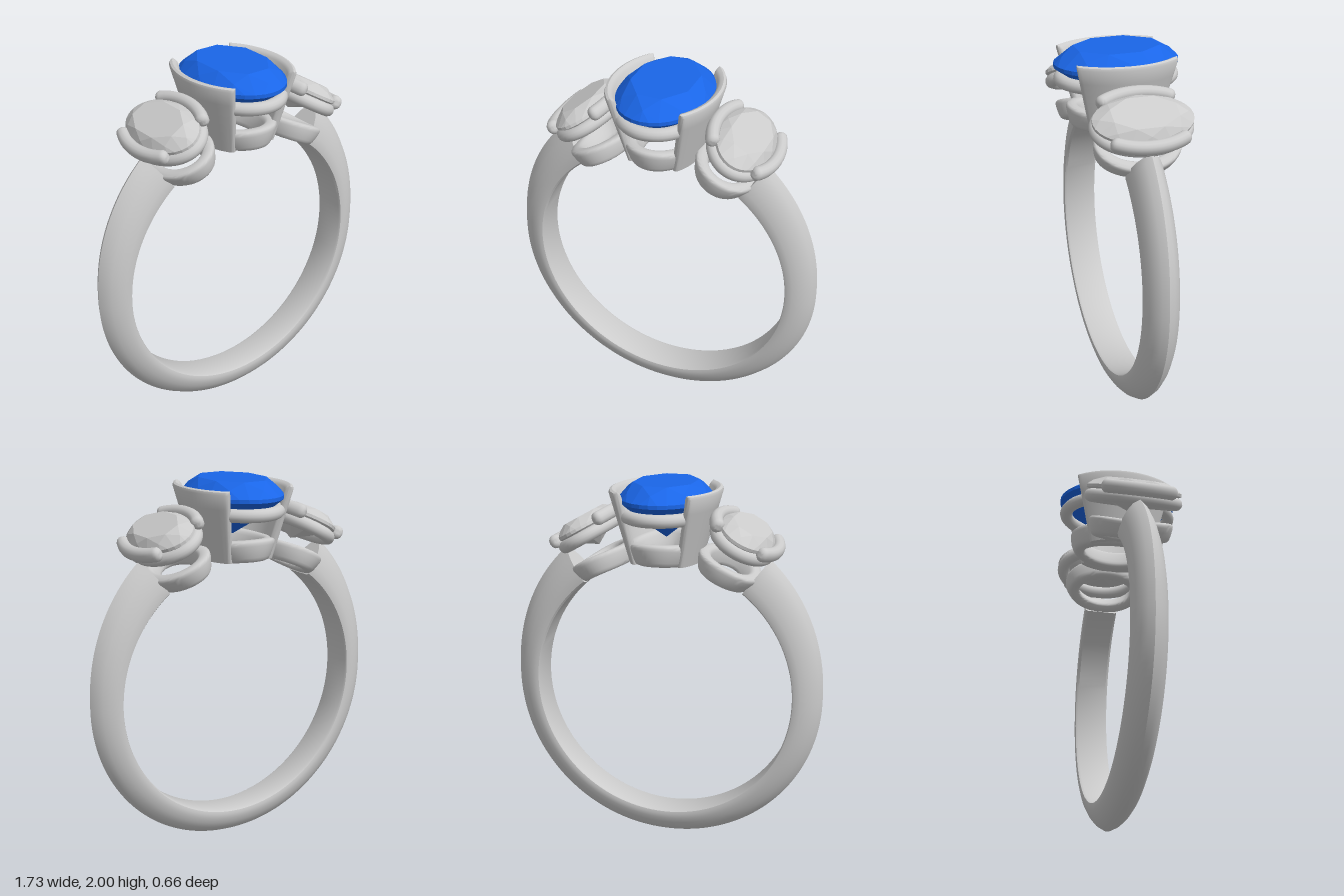
import * as THREE from 'three';
import { toCreasedNormals } from 'three/addons/utils/BufferGeometryUtils.js';
import { ConvexGeometry } from 'three/addons/geometries/ConvexGeometry.js';

const CENTER_Y = 0.87, INNER_R = 0.715;
const metal = new THREE.MeshStandardMaterial({ color: 0xcccccc });
const blue = new THREE.MeshStandardMaterial({ color: 0x1a66e8 });
const V = (x, y, z) => new THREE.Vector3(x, y, z);

// Joins closed cross-sections into a solid; an open run gets end caps
function loft(rows, looped, crease = 0.6) {
  const n = rows[0].length, pos = [], index = [];
  rows.forEach(row => row.forEach(p => pos.push(p.x, p.y, p.z)));
  const last = looped ? rows.length : rows.length - 1;
  for (let i = 0; i < last; i++) {
    for (let j = 0; j < n; j++) {
      const i2 = (i + 1) % rows.length, j2 = (j + 1) % n;
      const a = i * n + j, b = i * n + j2, c = i2 * n + j2, d = i2 * n + j;
      index.push(a, b, d, b, c, d);
    }
  }
  if (!looped) {
    [0, rows.length - 1].forEach(i => {
      const mid = rows[i].reduce((s, p) => s.add(p), V(0, 0, 0)).divideScalar(n);
      const m = pos.length / 3;
      pos.push(mid.x, mid.y, mid.z);
      for (let j = 0; j < n; j++) {
        const a = i * n + j, b = i * n + (j + 1) % n;
        if (i === 0) index.push(m, b, a); else index.push(m, a, b);
      }
    });
  }
  // A negative volume means the faces point inward
  let volume = 0;
  const at = k => V().fromArray(pos, k * 3);
  for (let k = 0; k < index.length; k += 3) {
    volume += at(index[k]).dot(at(index[k + 1]).cross(at(index[k + 2])));
  }
  if (volume < 0) index.reverse();
  const geo = new THREE.BufferGeometry();
  geo.setAttribute('position', new THREE.Float32BufferAttribute(pos, 3));
  geo.setIndex(index);
  return toCreasedNormals(geo, crease);
}

function add(parent, name, geometry, material = metal) {
  const mesh = new THREE.Mesh(geometry, material);
  mesh.name = name;
  parent.add(mesh);
  return mesh;
}

// Point on an oval in the xz plane, pushed outward by w
function onOval(a, b, t, w, y) {
  const nx = b * Math.cos(t), nz = a * Math.sin(t), l = Math.hypot(nx, nz);
  return V(a * Math.cos(t) + w * nx / l, y, b * Math.sin(t) + w * nz / l);
}

// Rounded-box profile as [outward, up] pairs
function roundProfile(hw, hh, power, n = 20) {
  const f = v => Math.sign(v) * Math.abs(v) ** power;
  return Array.from({ length: n }, (_, i) => {
    const t = i / n * Math.PI * 2;
    return [hw * f(Math.cos(t)), hh * f(Math.sin(t))];
  });
}

// Thins a run to a rounded tip at both ends; s runs from -1 to 1
function tipScale(s, tip) {
  const d = Math.max(0, (Math.abs(s) - 1 + tip) / tip);
  return Math.max(0.12, Math.sqrt(1 - d * d));
}

// Run positions, denser toward the ends
const runs = n => Array.from({ length: n + 1 }, (_, i) => Math.sin((i / n - 0.5) * Math.PI));

function ovalRail(a, b, radius) {
  const profile = roundProfile(radius, radius, 1, 14);
  const rows = Array.from({ length: 72 }, (_, i) => {
    const t = i / 72 * Math.PI * 2;
    return profile.map(([w, h]) => onOval(a, b, t, w, h));
  });
  return loft(rows, true, 1);
}

function ovalArc(a, b, radius, halfAngle) {
  const profile = roundProfile(radius, radius * 1.1, 0.9, 14);
  return loft(runs(32).map(s => {
    const k = tipScale(s, 0.15);
    return profile.map(([w, h]) => onOval(a, b, s * halfAngle, w * k, h * k));
  }), false, 1);
}

// Faceted oval stone with its girdle on y = 0
function ovalStone(a, b, crown, pavilion, girdle) {
  const pts = [V(0, -pavilion, 0)];
  const ring = (n, r, y, shift) => {
    for (let i = 0; i < n; i++) {
      const t = (i + shift) / n * Math.PI * 2;
      pts.push(V(a * r * Math.cos(t), y, b * r * Math.sin(t)));
    }
  };
  ring(8, 0.7, crown, 0.5);
  ring(8, 0.88, crown * 0.58, 0);
  ring(32, 1, girdle, 0);
  ring(32, 1, -girdle, 0);
  ring(8, 0.55, -pavilion * 0.54, 0.5);
  return new ConvexGeometry(pts);
}

// Oval base ring bent around the finger hole, centred at angle phi from the top
function baseRing(phi, a, b, height) {
  const profile = roundProfile(0.034, height / 2, 0.55);
  const rows = Array.from({ length: 64 }, (_, i) => {
    const t = i / 64 * Math.PI * 2;
    return profile.map(([w, h]) => {
      const flare = 0.2 * h;
      const p = onOval(a - 0.034, b - 0.034, t, w + flare, 0);
      const r = INNER_R + height / 2 + h, ang = phi + p.x / 0.76;
      return V(r * Math.sin(ang), CENTER_Y + r * Math.cos(ang), p.z);
    });
  });
  return loft(rows, true, 0.8);
}

// Open band with a ridged arch section that grows toward the shoulders
function bandGeometry() {
  const half = [[0.08, 0], [0.092, 0.04], [0.095, 0.14], [0.091, 0.3], [0.08, 0.5], [0.06, 0.71], [0.033, 0.89]];
  const section = [...half, [0, 1], ...half.map(([z, f]) => [-z, f]).reverse()];
  const end = 52.7 * Math.PI / 180, N = 120, rows = [];
  for (let i = 0; i <= N; i++) {
    const th = end - (Math.PI + 2 * end) * i / N;
    const rise = Math.max(0, Math.sin(th)) / Math.sin(end);
    const outer = 0.866 + 0.068 * rise ** 1.5;
    rows.push(section.map(([z, f]) => {
      const r = INNER_R + (outer - INNER_R) * f;
      return V(r * Math.cos(th), CENTER_Y + r * Math.sin(th), z);
    }));
  }
  return loft(rows, false, 0.5);
}

// Flaring curved wall that holds one flank of the centre stone
function wallGeometry() {
  const profile = [[-0.045, 0], [0, 0], [0, 0.25], [0, 0.5], [0, 0.75], [0, 0.95], [-0.008, 0.985],
    [-0.022, 1], [-0.036, 0.985], [-0.045, 0.95], [-0.045, 0.75], [-0.045, 0.5], [-0.045, 0.25]];
  return loft(runs(32).map(s => {
    const k = tipScale(s, 0.07);
    return profile.map(([w, h]) => onOval(
      0.19 + 0.11 * h, 0.25 + 0.125 * h, s * 0.84, -0.0225 + (w + 0.0225) * k, 1.58 + 0.39 * h));
  }), false, 0.7);
}

export function createModel() {
  const model = new THREE.Group();
  model.name = 'ring';
  add(model, 'band', bandGeometry());

  // Centre setting
  const centre = new THREE.Group();
  centre.name = 'centreSetting';
  model.add(centre);
  add(centre, 'centreStone', ovalStone(0.24, 0.33, 0.085, 0.215, 0.01), blue).position.y = 1.915;
  add(centre, 'centreRail', ovalRail(0.215, 0.295, 0.035)).position.y = 1.838;
  add(centre, 'centreBase', baseRing(0, 0.185, 0.26, 0.12));
  const wall = wallGeometry();
  add(centre, 'leftWall', wall);
  add(centre, 'rightWall', wall).rotation.y = Math.PI;

  // Side settings, tilted outward
  const stone = ovalStone(0.155, 0.262, 0.055, 0.125, 0.008);
  const rail = ovalRail(0.15, 0.235, 0.035);
  const arc = ovalArc(0.178, 0.275, 0.034, 0.82);
  const base = baseRing(0.46, 0.165, 0.225, 0.105);
  ['left', 'right'].forEach((side, i) => {
    const group = new THREE.Group();
    group.name = side + 'Setting';
    group.rotation.y = i * Math.PI;
    model.add(group);
    add(group, 'sideBase', base);
    const head = new THREE.Group();
    head.name = 'sideHead';
    head.position.set(0.44, 1.745, 0);
    head.rotation.z = -0.52;
    group.add(head);
    add(head, 'sideStone', stone);
    add(head, 'sideRail', rail).position.y = -0.05;
    add(head, 'outerClaw', arc);
    add(head, 'innerClaw', arc).rotation.y = Math.PI;
  });
  return model;
}
